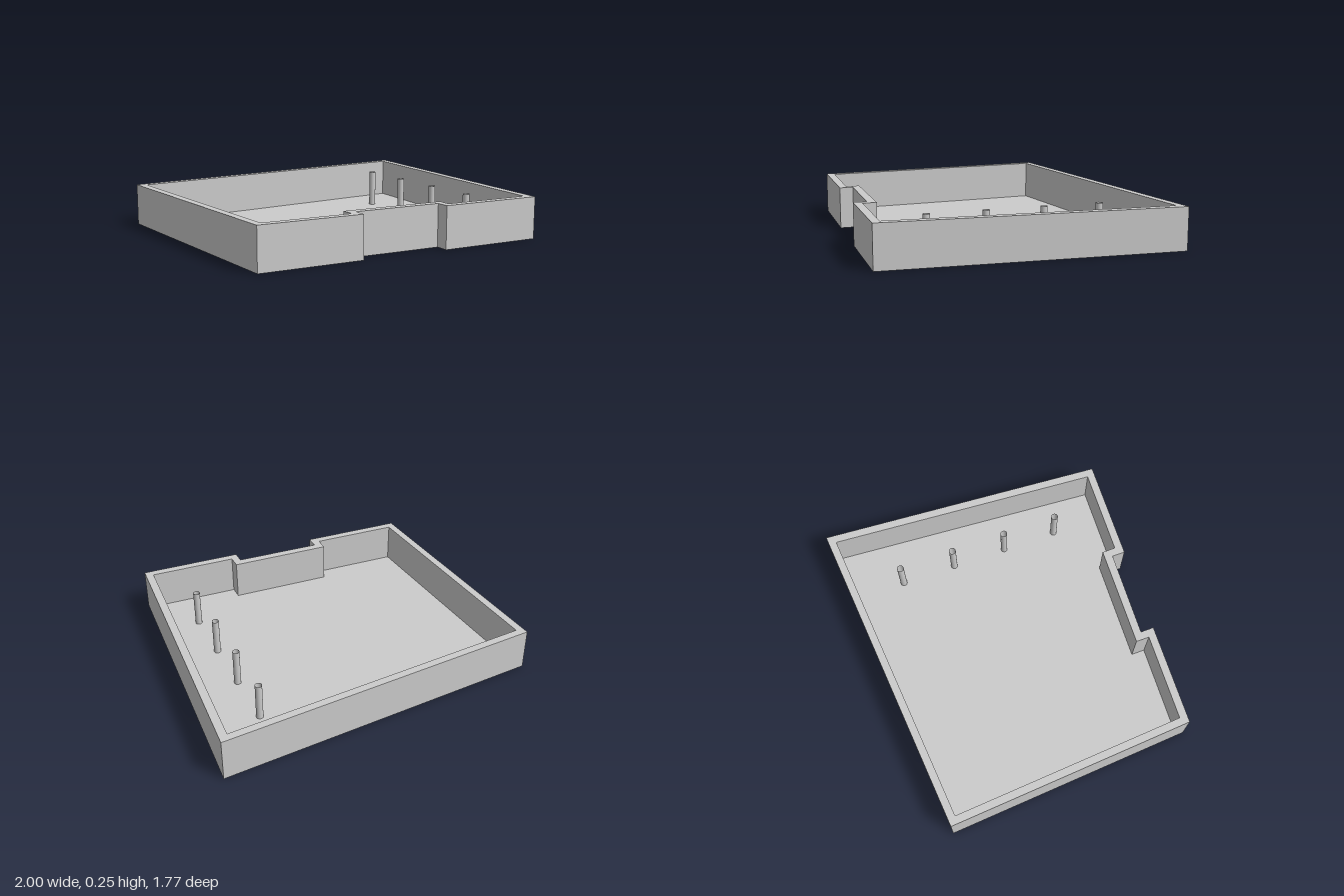
import * as THREE from 'three';

const HEIGHT = 0.255, FLOOR = 0.012;

// Plan outlines as [x, z]
const OUTER = [[-1, -0.743], [1, -0.887], [0.873, 0.887], [0.246, 0.853],
  [0.246, 0.772], [-0.287, 0.74], [-0.287, 0.822], [-0.912, 0.788]];
const INNER = [[-0.95, -0.7], [0.947, -0.836], [0.828, 0.837], [0.293, 0.807],
  [0.293, 0.724], [-0.335, 0.69], [-0.335, 0.772], [-0.868, 0.742]];

const toPoints = (outline) => outline.map(([x, z]) => new THREE.Vector2(x, -z));

// Extrudes a plan shape upward from y = 0
function extrudeUp(shape, depth) {
  return new THREE.ExtrudeGeometry(shape, { depth, bevelEnabled: false }).rotateX(-Math.PI / 2);
}

export function createModel() {
  const group = new THREE.Group();
  const material = new THREE.MeshStandardMaterial({ color: 0xcccccc });
  const postMaterial = new THREE.MeshStandardMaterial({ color: 0xcccccc, side: THREE.DoubleSide });

  const add = (name, geometry, mat = material) => {
    const mesh = new THREE.Mesh(geometry, mat);
    mesh.name = name;
    group.add(mesh);
    return mesh;
  };

  // Notched perimeter wall; the hole runs opposite to the outline so its sides face inward
  const wallShape = new THREE.Shape(toPoints(OUTER));
  wallShape.holes.push(new THREE.Path(toPoints(INNER).reverse()));
  add('wall', extrudeUp(wallShape, HEIGHT));

  // Thin floor inside the wall
  add('floor', extrudeUp(new THREE.Shape(toPoints(INNER)), FLOOR));

  // Row of four open tubular posts along the right side
  const postHeight = 0.228;
  for (let i = 0; i < 4; i++) {
    const post = add('post', new THREE.CylinderGeometry(0.021, 0.021, postHeight, 24, 1, true), postMaterial);
    post.position.set(0.64, FLOOR + postHeight / 2, 0.533 - i * 0.348);
  }

  return group;
}
